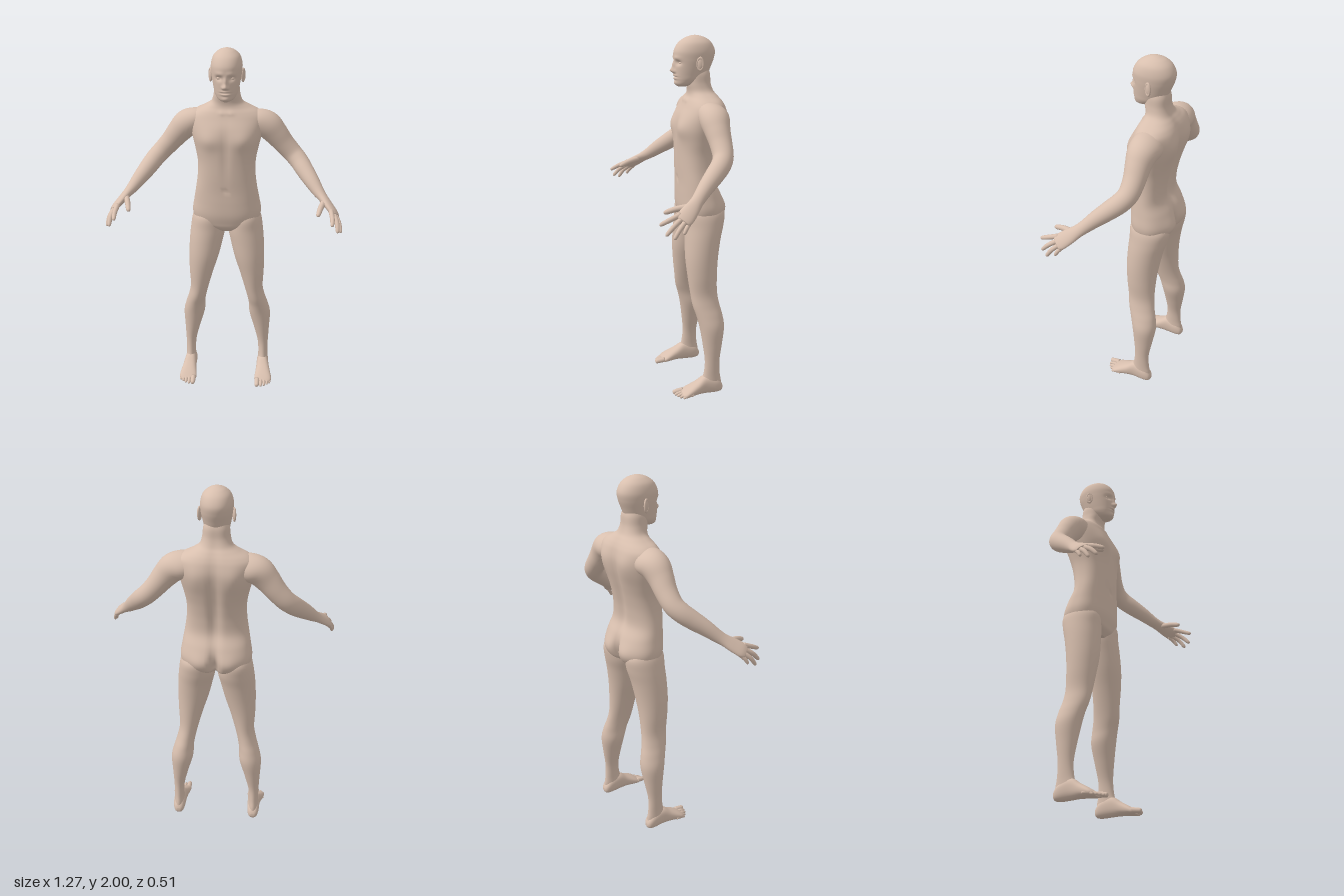
import * as THREE from 'three';

const skin = new THREE.MeshStandardMaterial({ color: 0xd8bfae, roughness: 0.8 });
const bell = (d, r) => Math.exp(-(d / r) * (d / r));

// Catmull-Rom interpolation of whole cross-section rows
function refine(rows, steps) {
  const out = [];
  const at = i => rows[Math.min(rows.length - 1, Math.max(0, i))];
  for (let i = 0; i < rows.length - 1; i++) {
    for (let k = 0; k < steps; k++) {
      const t = k / steps;
      out.push(rows[i].map((_, j) => {
        const a = at(i - 1)[j], b = at(i)[j], c = at(i + 1)[j], d = at(i + 2)[j];
        return b + 0.5 * t * (c - a + t * (2 * a - 5 * b + 4 * c - d + t * (3 * (b - c) + d - a)));
      }));
    }
  }
  out.push(rows[rows.length - 1]);
  return out;
}

// Closed skin through rings of points; side = -1 mirrors it in x
function skinRings(name, rings, side = 1, sculpt = null) {
  const n = rings[0].length, pos = [], idx = [];
  const verts = rings.flat();
  for (const ring of [rings[0], rings[rings.length - 1]]) {
    verts.push(ring.reduce((s, p) => s.add(p), new THREE.Vector3()).divideScalar(n));
  }
  for (const v of verts) {
    if (sculpt) sculpt(v);
    pos.push(v.x * side, v.y, v.z);
  }
  const first = rings.length * n, last = (rings.length - 1) * n;
  for (let j = 0; j < n; j++) {
    const k = (j + 1) % n;
    for (let i = 0; i < rings.length - 1; i++) {
      const a = i * n + j, b = i * n + k;
      idx.push(a, b, b + n, a, b + n, a + n);
    }
    idx.push(first, k, j, first + 1, last + j, last + k);
  }
  // Turn the faces outward if the enclosed volume is negative
  const p = i => new THREE.Vector3(pos[3 * i], pos[3 * i + 1], pos[3 * i + 2]);
  let volume = 0;
  for (let i = 0; i < idx.length; i += 3) volume += p(idx[i]).dot(p(idx[i + 1]).cross(p(idx[i + 2])));
  if (volume < 0) idx.reverse();
  const geo = new THREE.BufferGeometry();
  geo.setAttribute('position', new THREE.Float32BufferAttribute(pos, 3));
  geo.setIndex(idx);
  geo.computeVertexNormals();
  const mesh = new THREE.Mesh(geo, skin);
  mesh.name = name;
  return mesh;
}

// One ring of unit-ellipse coordinates, squared off by power < 1
function ellipse(n, power, place) {
  return Array.from({ length: n }, (_, j) => {
    const a = (j / n) * Math.PI * 2, c = Math.cos(a), s = Math.sin(a);
    return place(Math.sign(c) * Math.abs(c) ** power, Math.sign(s) * Math.abs(s) ** power);
  });
}

// Level rings: rows of [y, centre x, half width, front z, back z]
function levels(name, rows, { n = 40, steps = 5, power = 1, side = 1, sculpt } = {}) {
  const rings = refine(rows, steps).map(([y, x, w, f, b]) => ellipse(n, power, (c, s) =>
    new THREE.Vector3(x + w * c, y, (f + b) / 2 + (f - b) / 2 * s)));
  return skinRings(name, rings, side, sculpt);
}

// Rings square to a path: rows of [x, y, z, radius along ref, radius across]
function limb(name, rows, { n = 24, steps = 5, side = 1, ref = new THREE.Vector3(-0.4, 0.4, 0.8) } = {}) {
  const fine = refine(rows, steps), at = i => new THREE.Vector3(...fine[i].slice(0, 3));
  const rings = fine.map((row, i) => {
    const t = at(Math.min(i + 1, fine.length - 1)).sub(at(Math.max(i - 1, 0))).normalize();
    const u = ref.clone().addScaledVector(t, -ref.dot(t)).normalize(), v = t.clone().cross(u);
    return ellipse(n, 1, (c, s) => at(i).addScaledVector(u, c * Math.max(row[3], 5e-4))
      .addScaledVector(v, s * Math.max(row[4], 5e-4)));
  });
  return skinRings(name, rings, side);
}

// Finger or toe from base to tip with a rounded end
function digit(name, base, mid, tip, r, side) {
  const near = tip.map((v, i) => v + (mid[i] - v) * 0.18);
  return limb(name, [[...base, r, r], [...mid, r * 0.92, r * 0.92], [...near, r * 0.72, r * 0.72],
    [...tip, r * 0.1, r * 0.1]], { n: 12, steps: 4, side });
}

// Chest, spine, shoulder blade and buttock relief
function sculptTorso(v) {
  const x = Math.abs(v.x), y = v.y;
  if (v.z < -0.13) {
    v.z += 0.022 * bell(x, 0.028) * bell(y - 1.38, 0.26);
    v.z += 0.05 * bell(x, 0.02) * bell(y - 1.04, 0.07);
    v.z -= 0.012 * bell(x - 0.085, 0.05) * bell(y - 1.06, 0.06);
    v.z -= 0.012 * bell(x - 0.1, 0.05) * bell(y - 1.56, 0.08);
  } else if (v.z > -0.09) {
    v.z += 0.016 * bell(x - 0.095, 0.06) * bell(y - 1.52, 0.055);
    v.z -= 0.007 * bell(x, 0.02) * bell(y - 1.45, 0.14);
    v.z -= 0.008 * bell(x, 0.01) * bell(y - 1.23, 0.012);
    v.z += 0.006 * bell(x - 0.022, 0.015) * bell(y - 1.66, 0.012);
  }
}

// Brow, sockets, nose, lips and chin
function sculptHead(v) {
  if (v.z < -0.06) return;
  const x = Math.abs(v.x), y = v.y;
  v.z += 0.005 * bell(x - 0.03, 0.025) * bell(y - 1.885, 0.012);
  v.z -= 0.013 * bell(x - 0.034, 0.017) * bell(y - 1.861, 0.013);
  v.z += 0.012 * bell(x, 0.009) * bell(y - 1.845, 0.022);
  v.z += 0.022 * bell(x, 0.011) * bell(y - 1.819, 0.013);
  v.z += 0.009 * bell(x - 0.013, 0.007) * bell(y - 1.814, 0.008);
  v.z += 0.007 * bell(x, 0.022) * (bell(y - 1.793, 0.006) + bell(y - 1.777, 0.006));
  v.z -= 0.006 * bell(x, 0.024) * bell(y - 1.785, 0.003);
  v.z += 0.007 * bell(x, 0.02) * bell(y - 1.752, 0.012);
}

function addHead(group) {
  const head = new THREE.Group();
  head.name = 'head';
  head.add(levels('skullAndFace', [
    [1.732, 0, 0.012, -0.005, -0.05], [1.745, 0, 0.042, 0.008, -0.09], [1.77, 0, 0.06, 0.013, -0.14],
    [1.8, 0, 0.068, 0.016, -0.167], [1.84, 0, 0.076, 0.017, -0.185], [1.88, 0, 0.082, 0.018, -0.2],
    [1.92, 0, 0.083, 0.017, -0.205], [1.96, 0, 0.071, -0.006, -0.186], [1.985, 0, 0.046, -0.04, -0.155],
    [1.997, 0, 0.02, -0.073, -0.12], [2, 0, 0.003, -0.092, -0.1],
  ], { n: 96, steps: 10, power: 0.95, sculpt: sculptHead }));
  for (const side of [1, -1]) {
    const eye = new THREE.Mesh(new THREE.SphereGeometry(0.0125, 20, 14), skin);
    eye.name = 'eye';
    eye.scale.set(1.15, 0.75, 0.9);
    eye.position.set(side * 0.034, 1.86, -0.011);
    // Ear: a cupped disc with a raised rim
    const ear = new THREE.Group();
    ear.name = 'ear';
    const rim = new THREE.Mesh(new THREE.TorusGeometry(0.02, 0.0055, 10, 28), skin);
    const cup = new THREE.Mesh(new THREE.SphereGeometry(0.02, 20, 12), skin);
    rim.name = 'earRim';
    cup.name = 'earCup';
    cup.scale.z = 0.35;
    ear.add(rim, cup);
    ear.scale.set(0.8, 1.5, 1);
    ear.position.set(side * 0.087, 1.857, -0.1);
    ear.rotation.set(0, side * (Math.PI / 2 - 0.4), 0);
    head.add(eye, ear);
  }
  group.add(head);
}

function addArm(group, side) {
  const arm = new THREE.Group();
  arm.name = side > 0 ? 'leftArm' : 'rightArm';
  arm.add(limb('armAndPalm', [
    [0.1, 1.6, -0.15, 0.065, 0.05], [0.165, 1.597, -0.145, 0.083, 0.066], [0.22, 1.576, -0.14, 0.079, 0.075],
    [0.265, 1.53, -0.14, 0.067, 0.067], [0.31, 1.475, -0.143, 0.059, 0.058], [0.36, 1.42, -0.138, 0.054, 0.053],
    [0.397, 1.383, -0.113, 0.052, 0.051], [0.43, 1.345, -0.07, 0.049, 0.048], [0.47, 1.3, -0.015, 0.042, 0.041],
    [0.505, 1.26, 0.03, 0.035, 0.032], [0.53, 1.236, 0.06, 0.034, 0.025], [0.558, 1.21, 0.095, 0.041, 0.021],
    [0.585, 1.184, 0.13, 0.044, 0.018], [0.598, 1.171, 0.148, 0.036, 0.012],
  ], { n: 32, side }));
  const fingers = [
    ['thumb', [0.535, 1.225, 0.085], [0.515, 1.212, 0.155], [0.5, 1.192, 0.216], 0.016],
    ['indexFinger', [0.57, 1.2, 0.15], [0.577, 1.178, 0.207], [0.575, 1.155, 0.258], 0.0135],
    ['middleFinger', [0.583, 1.188, 0.14], [0.602, 1.152, 0.192], [0.607, 1.108, 0.235], 0.0135],
    ['ringFinger', [0.59, 1.177, 0.123], [0.615, 1.14, 0.165], [0.626, 1.093, 0.198], 0.013],
    ['littleFinger', [0.593, 1.17, 0.105], [0.612, 1.143, 0.13], [0.622, 1.113, 0.148], 0.0115],
  ];
  for (const [name, a, b, c, r] of fingers) arm.add(digit(name, a, b, c, r, side));
  group.add(arm);
}

function addLeg(group, side) {
  const leg = new THREE.Group();
  leg.name = side > 0 ? 'leftLeg' : 'rightLeg';
  leg.add(levels('thighAndCalf', [
    [1.1, 0.105, 0.06, -0.05, -0.2], [1.05, 0.105, 0.088, -0.02, -0.238], [0.98, 0.106, 0.1, -0.016, -0.232],
    [0.9, 0.118, 0.096, -0.012, -0.212], [0.8, 0.132, 0.086, -0.01, -0.195], [0.7, 0.147, 0.07, -0.018, -0.186],
    [0.6, 0.159, 0.054, -0.03, -0.185], [0.53, 0.174, 0.052, -0.04, -0.194], [0.47, 0.188, 0.056, -0.058, -0.208],
    [0.4, 0.198, 0.062, -0.075, -0.216], [0.3, 0.21, 0.046, -0.09, -0.202], [0.2, 0.22, 0.031, -0.1, -0.186],
    [0.12, 0.222, 0.028, -0.092, -0.188], [0.07, 0.222, 0.03, -0.075, -0.196], [0.03, 0.222, 0.03, -0.075, -0.198],
  ], { side }));
  // Foot: upright rings of [z, centre x, half width, bottom, top]
  const rows = [
    [-0.204, 0.222, 0.012, 0.02, 0.04], [-0.192, 0.222, 0.026, 0.005, 0.065], [-0.16, 0.222, 0.034, 0, 0.095],
    [-0.1, 0.222, 0.036, 0.002, 0.11], [-0.05, 0.225, 0.042, 0.004, 0.08], [0, 0.227, 0.05, 0.001, 0.052],
    [0.025, 0.227, 0.049, 0, 0.036], [0.042, 0.222, 0.038, 0.005, 0.024],
  ];
  leg.add(skinRings('foot', refine(rows, 5).map(([z, x, w, b, t]) => ellipse(32, 0.85, (c, s) =>
    new THREE.Vector3(x + w * c, (b + t) / 2 + (t - b) / 2 * s, z))), side));
  // Toes, from the big one outward
  [0.194, 0.217, 0.236, 0.253, 0.268].forEach((x, i) => {
    const tip = [0.084, 0.079, 0.07, 0.057, 0.041][i], r = i ? 0.0105 - i * 0.0004 : 0.0155;
    leg.add(digit('toe', [x, 0.022, tip - 0.06], [x, 0.018, tip - 0.025], [x, r * 0.9, tip], r, side));
  });
  group.add(leg);
}

export function createModel() {
  const figure = new THREE.Group();
  figure.name = 'standingFigure';
  figure.add(levels('torsoAndNeck', [
    [0.97, 0, 0.05, -0.05, -0.15], [1, 0, 0.13, -0.022, -0.215], [1.03, 0, 0.18, -0.012, -0.24],
    [1.08, 0, 0.194, -0.002, -0.25], [1.15, 0, 0.184, 0, -0.23], [1.22, 0, 0.172, 0, -0.198],
    [1.3, 0, 0.161, 0.004, -0.2], [1.38, 0, 0.16, 0.007, -0.215], [1.45, 0, 0.172, 0.009, -0.232],
    [1.52, 0, 0.189, 0.007, -0.247], [1.58, 0, 0.2, -0.006, -0.252], [1.63, 0, 0.2, -0.03, -0.243],
    [1.66, 0, 0.172, -0.045, -0.23], [1.685, 0, 0.122, -0.058, -0.213], [1.71, 0, 0.086, -0.06, -0.195],
    [1.75, 0, 0.072, -0.052, -0.182], [1.8, 0, 0.066, -0.05, -0.178], [1.84, 0, 0.05, -0.06, -0.165],
  ], { n: 80, steps: 6, power: 0.86, sculpt: sculptTorso }));
  addHead(figure);
  for (const side of [1, -1]) {
    addArm(figure, side);
    addLeg(figure, side);
  }
  return figure;
}
